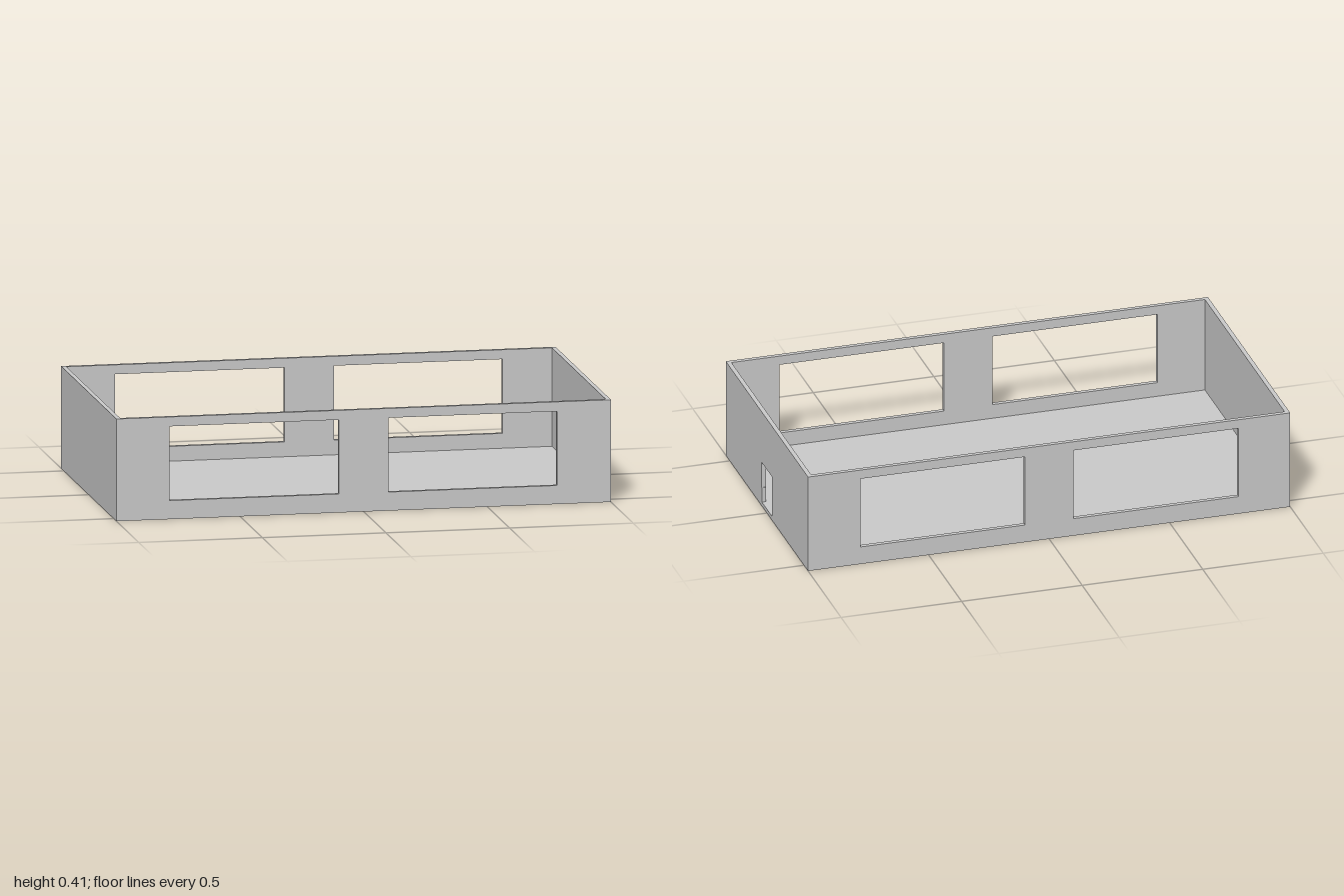
import * as THREE from 'three';

const W = 1, D = 0.555, H = 0.413, T = 0.018; // half width, half depth, height, wall thickness
const FLOOR_Y = 0.015;

const rect = (x0, x1, y0, y1) => [[x0, y0], [x1, y0], [x1, y1], [x0, y1]];
const toPoints = (list) => list.map(([x, y]) => new THREE.Vector2(x, y));

// Upright wall slab, centred on its thickness, with openings cut through
function makeWall(name, half, openings, material) {
  const shape = new THREE.Shape(toPoints(rect(-half, half, 0, H)));
  for (const o of openings) shape.holes.push(new THREE.Path(toPoints(o)));
  const geometry = new THREE.ExtrudeGeometry(shape, { depth: T, bevelEnabled: false });
  geometry.translate(0, 0, -T / 2);
  const mesh = new THREE.Mesh(geometry, material);
  mesh.name = name;
  return mesh;
}

export function createModel() {
  const model = new THREE.Group();
  model.name = 'openRoom';
  const material = new THREE.MeshStandardMaterial({ color: 0xcccccc, flatShading: true });

  // Long walls, each with two wide windows
  const windows = [rect(-0.785, -0.1, 0.075, 0.375), rect(0.1, 0.782, 0.075, 0.375)];
  for (const [name, side] of [['frontWall', 1], ['backWall', -1]]) {
    const wall = makeWall(name, W, windows, material);
    wall.position.z = side * (D - T / 2);
    model.add(wall);
  }

  // End walls; only the left one has a doorway, slightly stepped on one jamb
  const door = [[-0.068, 0.017], [0.069, 0.017], [0.069, 0.191], [-0.071, 0.191], [-0.071, 0.08], [-0.068, 0.08]];
  for (const [name, side, openings] of [['leftWall', 1, [door]], ['rightWall', -1, []]]) {
    const wall = makeWall(name, D - T, openings, material);
    wall.rotation.y = Math.PI / 2;
    wall.position.x = side * (W - T / 2);
    model.add(wall);
  }

  // Thin floor sheet, raised just above the wall feet
  const floorMaterial = material.clone();
  floorMaterial.side = THREE.DoubleSide;
  const floor = new THREE.Mesh(new THREE.PlaneGeometry(2 * (W - T), 2 * (D - T)), floorMaterial);
  floor.name = 'floor';
  floor.rotation.x = -Math.PI / 2;
  floor.position.y = FLOOR_Y;
  model.add(floor);

  return model;
}
